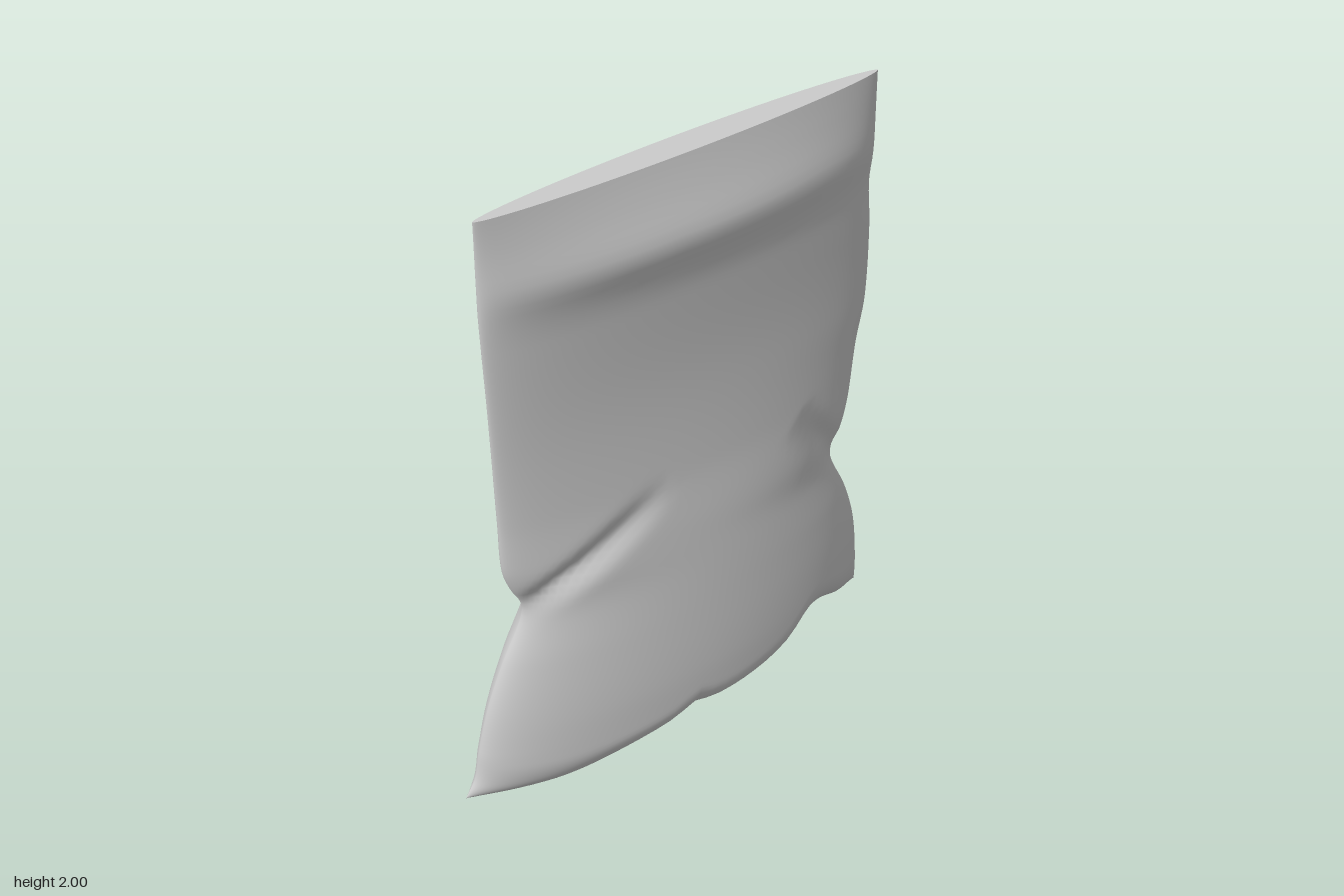
import * as THREE from 'three';

// Smooth curve through [position, value] pairs, clamped at both ends
function curve(points) {
  const n = points.length;
  const slope = (i) => {
    const a = points[Math.max(i - 1, 0)], b = points[Math.min(i + 1, n - 1)];
    return (b[1] - a[1]) / (b[0] - a[0]);
  };
  return (s) => {
    if (s <= points[0][0]) return points[0][1];
    if (s >= points[n - 1][0]) return points[n - 1][1];
    let i = 0;
    while (s > points[i + 1][0]) i++;
    const [x0, y0] = points[i], [x1, y1] = points[i + 1];
    const d = x1 - x0, t = (s - x0) / d, t2 = t * t, t3 = t2 * t;
    return (2 * t3 - 3 * t2 + 1) * y0 + (t3 - 2 * t2 + t) * d * slope(i)
      + (3 * t2 - 2 * t3) * y1 + (t3 - t2) * d * slope(i + 1);
  };
}

// Outline of the pouch: side edges by height, bottom edge by x
const edgeRight = curve([[0.04, -0.76], [0.1, -0.725], [0.2, -0.705], [0.35, -0.665], [0.5, -0.605],
  [0.64, -0.535], [0.7, -0.53], [0.76, -0.56], [0.84, -0.585], [1, -0.59], [1.4, -0.6], [1.7, -0.61], [2, -0.61]]);
const edgeLeft = curve([[0.12, 0.76], [0.2, 0.757], [0.4, 0.735], [0.55, 0.69], [0.69, 0.625], [0.74, 0.625],
  [0.8, 0.655], [0.9, 0.68], [1.1, 0.7], [1.25, 0.725], [1.5, 0.725], [1.65, 0.712], [1.75, 0.72], [2, 0.72]]);
const bottomEdge = curve([[-0.76, 0.04], [-0.6, 0.015], [-0.45, 0.005], [-0.25, 0.025], [-0.1, 0.05], [-0.03, 0.08],
  [0.05, 0.06], [0.2, 0.065], [0.35, 0.1], [0.46, 0.17], [0.54, 0.17], [0.65, 0.13], [0.76, 0.12]]);

// Bulge of each wall by height, with the zip band near the top
const frontDepth = curve([[0.15, 0.195], [0.3, 0.187], [0.5, 0.165], [0.8, 0.125], [1, 0.095], [1.3, 0.075],
  [1.6, 0.08], [1.68, 0.09], [1.76, 0.112], [1.8, 0.11], [1.9, 0.075], [1.98, 0.05], [2, 0.045]]);
const backDepth = curve([[0.1, 0.185], [0.4, 0.192], [0.7, 0.188], [1, 0.162], [1.4, 0.135], [1.58, 0.108],
  [1.64, 0.1], [1.69, 0.118], [1.73, 0.123], [1.78, 0.1], [1.86, 0.08], [1.97, 0.05], [2, 0.045]]);

// Crease running from a pinch (x0, y0) to (x1, y1), fading at its inner end
function crease(x, y, x0, y0, x1, y1, depth, width) {
  const dx = x1 - x0, dy = y1 - y0, len = Math.hypot(dx, dy);
  const t = ((x - x0) * dx + (y - y0) * dy) / (len * len);
  const off = ((x - x0) * dy - (y - y0) * dx) / len;
  const along = t < 0 ? Math.exp(-t * t * 30) : Math.max(0, 1 - t * t);
  return depth * along * Math.exp(-((off / width) ** 2));
}

function wallPoint(u, v, front) {
  // settle x and y together, as each outline depends on the other
  let x = u * 0.72, y = 0;
  for (let i = 0; i < 6; i++) {
    const base = bottomEdge(x);
    y = base + (2 - base) * v;
    x = THREE.MathUtils.lerp(edgeRight(y), edgeLeft(y), (u + 1) / 2);
  }
  const a = Math.abs(u);
  const low = 1 - THREE.MathUtils.smoothstep(y, 0.3, 1.3);
  const power = front ? 2 : 2 + low * (u < 0 ? 1.6 : 0.7);
  const root = front ? 0.6 + 0.1 * low * (u > 0 ? 1 : 0) : 0.6 + 0.15 * low;
  const swell = Math.pow(Math.max(0, 1 - a ** power), root);

  // rounded turn-under along the bottom
  const h = Math.min(1, (y - bottomEdge(x)) / (front ? 0.14 : 0.12));
  const round = Math.sqrt(Math.max(0, 1 - (1 - h) ** 2));

  let z = (front ? frontDepth(y) : backDepth(y)) * swell;
  const folds = front
    ? crease(x, y, -0.54, 0.7, -0.08, 0.97, 0.04, 0.04) + crease(x, y, 0.63, 0.73, 0.42, 0.98, 0.04, 0.04)
    : crease(x, y, -0.54, 0.71, 0.05, 1.2, 0.045, 0.06) + crease(x, y, 0.63, 0.73, 0.3, 1.05, 0.03, 0.05)
      + crease(x, y, 0.5, 0.16, 0.36, 0.42, 0.05, 0.08);
  z = Math.max(z * 0.25, z - folds * Math.min(1, swell * 1.8)) * round;
  return [x, y, front ? z : -z];
}

export function createModel() {
  const group = new THREE.Group();
  group.name = 'pouch';
  const material = new THREE.MeshStandardMaterial({ color: 0xcccccc, side: THREE.DoubleSide });

  // Pouch body: closed loops (front wall, then back wall) stacked from bottom to top
  const half = 48, ring = half * 2, rows = 90;
  const positions = [], index = [], rim = [];
  for (let r = 0; r <= rows; r++) {
    const v = Math.pow(r / rows, 1.35);
    for (let c = 0; c < ring; c++) {
      const front = c < half;
      const t = front ? -1 + (2 * c) / half : 1 - (2 * (c - half)) / half;
      const p = wallPoint(Math.sin((t * Math.PI) / 2), v, front);
      positions.push(...p);
      if (r === rows) rim.push(new THREE.Vector2(p[0], -p[2]));
      if (r < rows) {
        const n = (c + 1) % ring, a = r * ring + c, b = r * ring + n;
        index.push(a, b, b + ring, a, b + ring, a + ring);
      }
    }
  }
  const bodyGeometry = new THREE.BufferGeometry();
  bodyGeometry.setAttribute('position', new THREE.Float32BufferAttribute(positions, 3));
  bodyGeometry.setIndex(index);
  bodyGeometry.computeVertexNormals();
  const body = new THREE.Mesh(bodyGeometry, material);
  body.name = 'pouchBody';
  group.add(body);

  // Thin sealed edge closing the top
  const seal = new THREE.Mesh(new THREE.ShapeGeometry(new THREE.Shape(rim)), material);
  seal.name = 'topSeal';
  seal.rotation.x = -Math.PI / 2;
  seal.position.y = 2;
  group.add(seal);

  return group;
}
